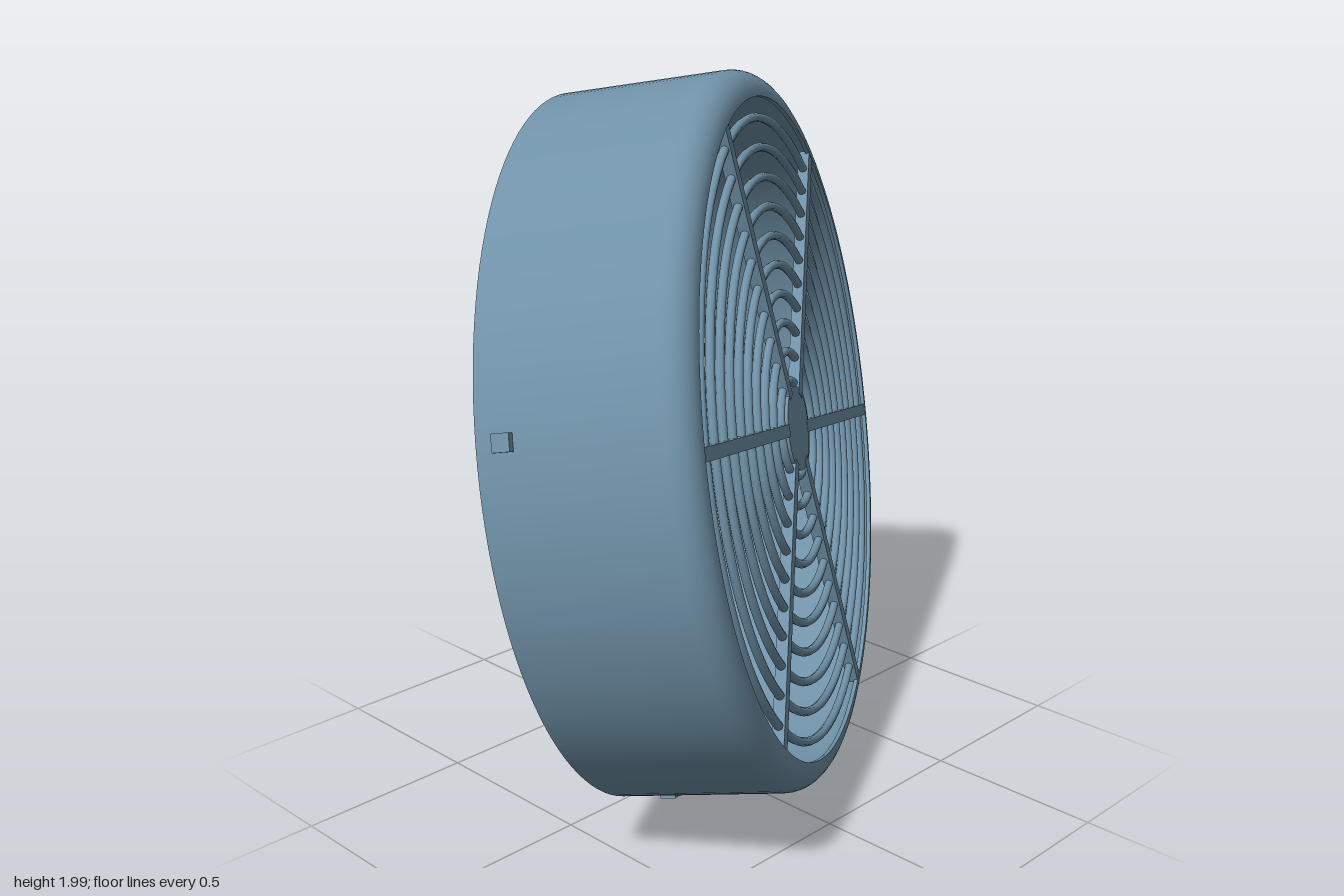
import * as THREE from 'three';

const paint = new THREE.MeshStandardMaterial({ color: 0x7092a8 });
paint.name = 'steel blue';

function add(parent, name, geometry) {
  const mesh = new THREE.Mesh(geometry, paint);
  mesh.name = name;
  parent.add(mesh);
  return mesh;
}

// Revolve [radius, depth] points around the local z axis
function revolve(points) {
  return new THREE.LatheGeometry(points.map(([r, t]) => new THREE.Vector2(r, t)), 128).rotateX(Math.PI / 2);
}

// Quarter round between the side wall and the grille face
function fillet(centreR, centreT, radius, steps = 8) {
  return Array.from({ length: steps + 1 }, (_, i) => {
    const a = (i / steps) * Math.PI / 2;
    return [centreR + radius * Math.cos(a), centreT + radius * Math.sin(a)];
  });
}

export function createModel() {
  const model = new THREE.Group();
  model.name = 'ventGrille';

  // Tilted frame: local z runs from the open rim to the grille
  const body = new THREE.Group();
  body.name = 'tiltedBody';
  const axis = new THREE.Vector3(0.859, 0.163, -0.485).normalize();
  const side = new THREE.Vector3(0, 1, 0).cross(axis).normalize();
  const up = axis.clone().cross(side);
  body.quaternion.setFromRotationMatrix(new THREE.Matrix4().makeBasis(side, up, axis));
  body.position.set(-0.211, 0.961, 0.1);
  model.add(body);

  // Housing: thin drum with a rounded shoulder, open at one end
  const R = 0.97, wall = 0.012, round = 0.072, depth = 0.517, opening = 0.892;
  const c = R - round, t = depth - round;
  add(body, 'housingOutside', revolve([[R, 0], [R, t * 0.5], ...fillet(c, t, round), [opening, depth]]));
  add(body, 'housingInside', revolve(
    [[opening, depth - wall], ...fillet(c, t, round - wall).reverse(), [R - wall, t * 0.5], [R - wall, 0]]));
  add(body, 'openRim', revolve([[R - wall, 0], [R, 0]]));
  add(body, 'openingLip', revolve([[opening, depth], [opening, depth - wall]]));

  // Concentric grille rings
  const grilleT = 0.5;
  for (let i = 0; i < 10; i++) {
    const ring = add(body, 'grilleRing', new THREE.TorusGeometry(0.132 + i * 0.0785, 0.012, 8, 96));
    ring.position.z = grilleT;
  }

  // Hub disc
  const hub = add(body, 'hub', new THREE.CylinderGeometry(0.115, 0.115, 0.03, 48).rotateX(Math.PI / 2));
  hub.position.z = grilleT;

  // Six spokes
  for (let i = 0; i < 6; i++) {
    const spoke = add(body, 'spoke', new THREE.BoxGeometry(0.8, 0.034, 0.032).translate(0.5, 0, 0));
    spoke.rotation.z = THREE.MathUtils.degToRad(47 + i * 60);
    spoke.position.z = grilleT;
  }

  // Four small locating tabs through the wall near the open rim
  for (let i = 0; i < 4; i++) {
    const tab = add(body, 'rimTab', new THREE.BoxGeometry(0.046, 0.044, 0.044).translate(0.969, 0, 0));
    tab.rotation.z = THREE.MathUtils.degToRad(73 + i * 90);
    tab.position.z = 0.07;
  }

  return model;
}
